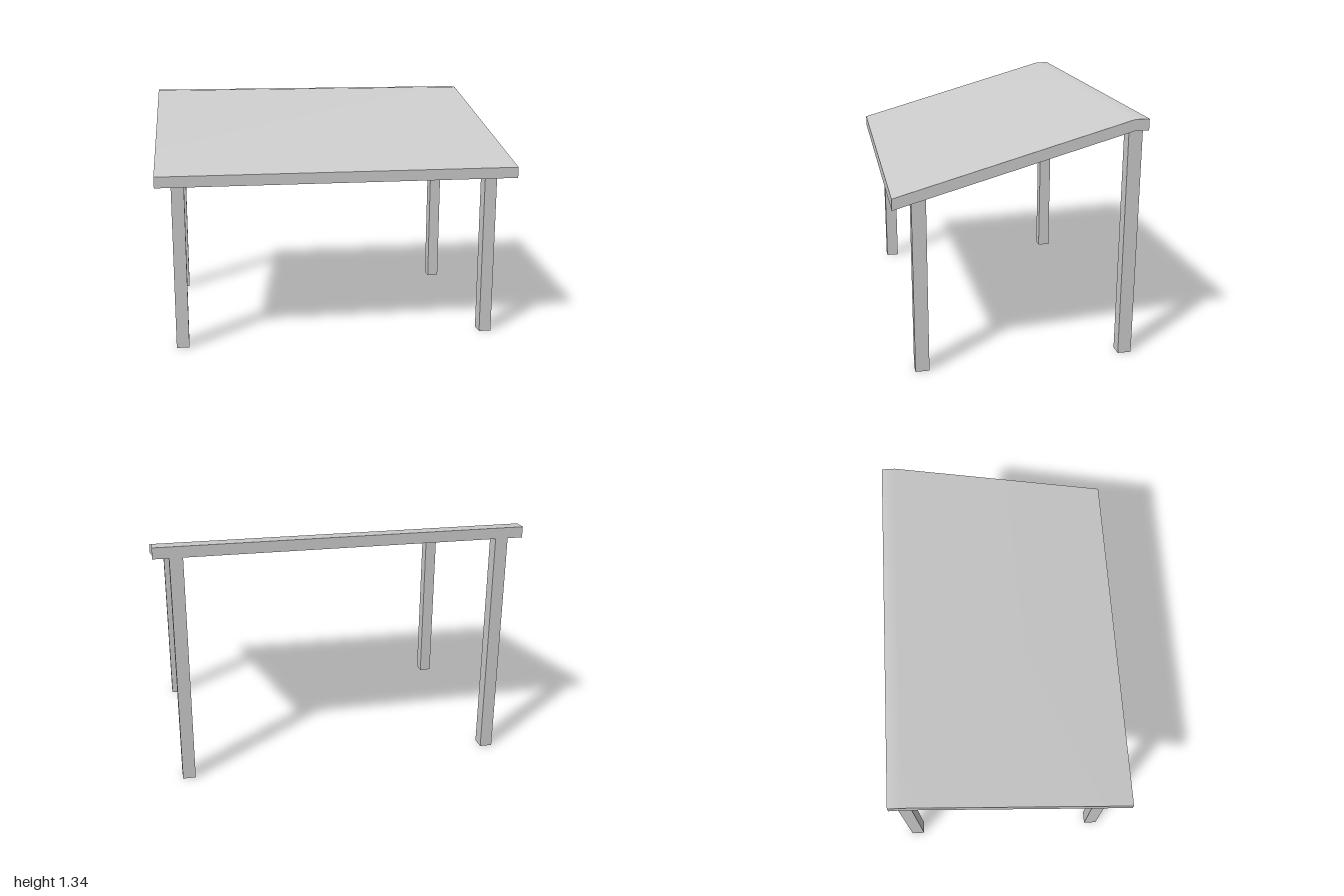
import * as THREE from 'three';

const HALF_DEPTH = 0.655, FOLD_Z = -0.581;
const EAVE_Y = 0.936, RIDGE_Y = 1.282, THICKNESS = 0.06;
const LEG_W = 0.07, LEG_D = 0.075;

// Height of the roof's underside: flat behind the fold, sloping down to the front
function undersideY(z) {
  const t = Math.min(1, (HALF_DEPTH - z) / (HALF_DEPTH - FOLD_Z));
  return EAVE_Y + (RIDGE_Y - EAVE_Y) * t;
}

// Slab with one fold near the back edge, smooth across the fold
function makeRoof(material) {
  const geo = new THREE.BoxGeometry(2, THICKNESS, HALF_DEPTH * 2, 1, 1, 2);
  const p = geo.attributes.position;
  for (let i = 0; i < p.count; i++) {
    const z = Math.abs(p.getZ(i)) < 0.01 ? FOLD_Z : p.getZ(i);
    const y = undersideY(z) + (p.getY(i) > 0 ? THICKNESS : 0);
    p.setXYZ(i, p.getX(i), y, z);
  }
  geo.computeVertexNormals();
  const roof = new THREE.Mesh(geo, material);
  roof.name = 'roof';
  return roof;
}

// Hollow square post, open at both ends, cut to the roof's underside
function makeLeg(name, x, z, material) {
  const geo = new THREE.BoxGeometry(LEG_W, 1, LEG_D);
  const index = Array.from(geo.index.array);
  geo.setIndex([...index.slice(0, 12), ...index.slice(24)]);
  geo.clearGroups();
  geo.translate(x, 0, z);
  const p = geo.attributes.position;
  for (let i = 0; i < p.count; i++) {
    p.setY(i, p.getY(i) > 0 ? undersideY(p.getZ(i)) : 0);
  }
  const leg = new THREE.Mesh(geo, material);
  leg.name = name;
  return leg;
}

export function createModel() {
  const group = new THREE.Group();
  group.name = 'slopedShelter';
  const material = new THREE.MeshStandardMaterial({ color: 0xcccccc });
  const legMaterial = new THREE.MeshStandardMaterial({ color: 0xcccccc, side: THREE.DoubleSide });

  group.add(makeRoof(material));
  for (const [side, x] of [['Left', 0.881], ['Right', -0.881]]) {
    group.add(makeLeg('front' + side + 'Leg', x, 0.513, legMaterial));
    group.add(makeLeg('back' + side + 'Leg', x, -HALF_DEPTH + LEG_D / 2, legMaterial));
  }
  return group;
}
